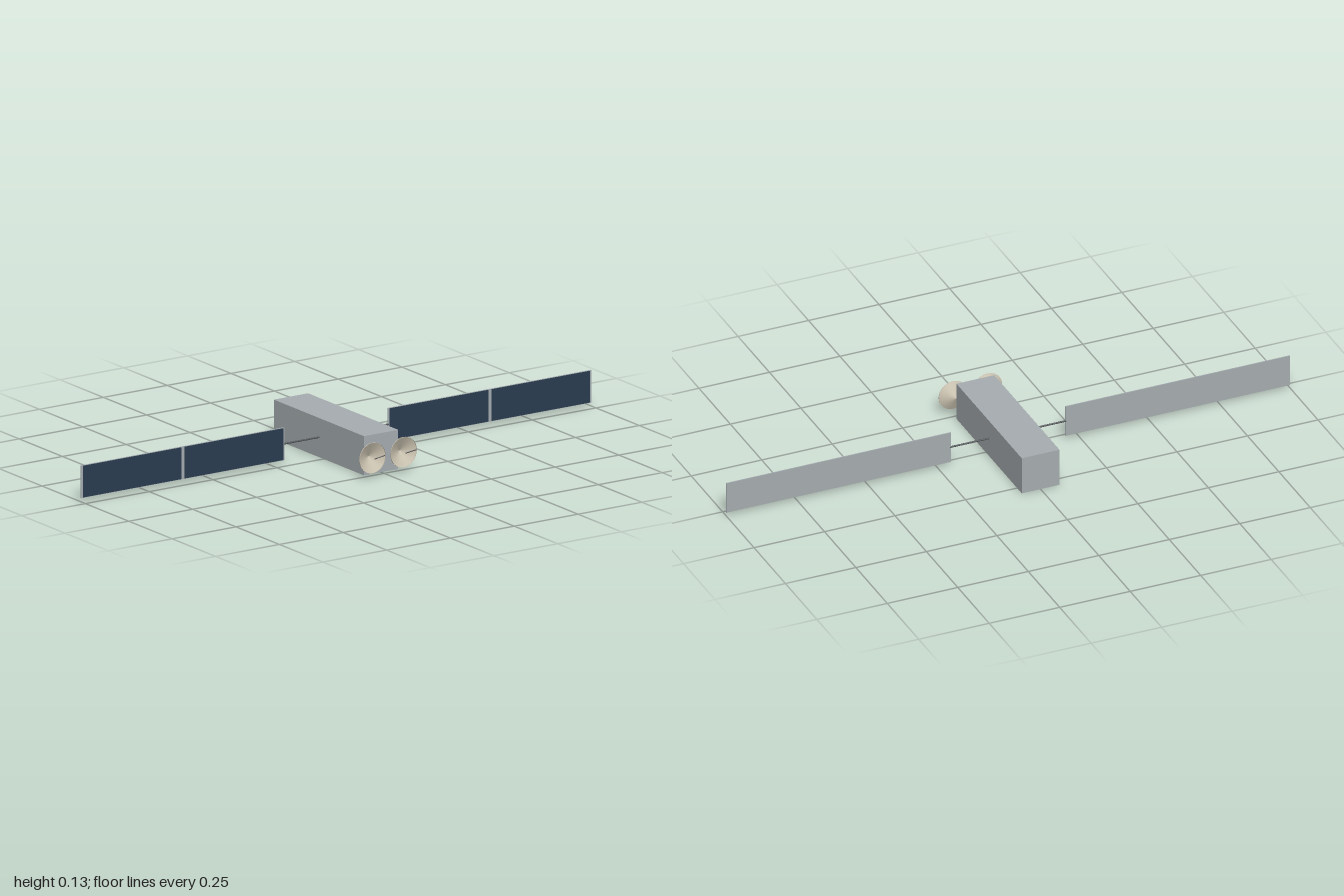
import * as THREE from 'three';

const material = (name, color, side = THREE.FrontSide) => {
  const m = new THREE.MeshStandardMaterial({ color, side });
  m.name = name;
  return m;
};

export function createModel() {
  const grey = material('bodyGrey', 0xa6adb0);
  const blue = material('cellBlue', 0x2b3c50);
  const beige = material('dishBeige', 0xcdc5b2, THREE.DoubleSide);
  const dark = material('strutDark', 0x55585c);

  const model = new THREE.Group();
  model.name = 'satellite';
  const midY = 0.067, wingZ = -0.027;

  const add = (parent, name, geometry, mat, x, y, z) => {
    const mesh = new THREE.Mesh(geometry, mat);
    mesh.name = name;
    mesh.position.set(x, y, z);
    parent.add(mesh);
    return mesh;
  };
  // Straight round rod between two points
  const addRod = (parent, name, a, b, radius) => {
    const dir = b.clone().sub(a);
    const rod = add(parent, name, new THREE.CylinderGeometry(radius, radius, dir.length(), 8), dark,
      ...a.clone().add(b).multiplyScalar(0.5).toArray());
    rod.quaternion.setFromUnitVectors(new THREE.Vector3(0, 1, 0), dir.normalize());
  };

  // Long box body
  add(model, 'body', new THREE.BoxGeometry(0.134, 0.132, 0.52), grey, 0, 0.066, wingZ);

  for (const side of [1, -1]) {
    // Solar wing: boom, backing panel and two cell sheets on its front
    const wing = new THREE.Group();
    wing.name = side > 0 ? 'leftWing' : 'rightWing';
    model.add(wing);
    addRod(wing, 'boom', new THREE.Vector3(side * 0.06, midY, wingZ),
      new THREE.Vector3(side * 0.206, midY, wingZ), 0.003);
    add(wing, 'panel', new THREE.BoxGeometry(0.797, 0.11, 0.004), grey, side * 0.6015, midY, wingZ);
    for (const x of [0.4015, 0.8])
      add(wing, 'solarCells', new THREE.BoxGeometry(0.386, 0.107, 0.001), blue, side * x, midY, wingZ + 0.0025);

    // Conical dish, open to the front, with one slanted feed strut
    const dish = new THREE.Group();
    dish.name = side > 0 ? 'leftDish' : 'rightDish';
    dish.position.set(side * 0.061, midY, 0);
    model.add(dish);
    const profile = [[0, 0], [0.051, 0.023], [0.051, 0.026]].map(p => new THREE.Vector2(...p));
    const cone = add(dish, 'reflector', new THREE.LatheGeometry(profile.slice(0, 2), 32), beige, 0, 0, 0.248);
    const rim = add(dish, 'rim', new THREE.LatheGeometry(profile.slice(1), 32), beige, 0, 0, 0.248);
    cone.rotation.x = rim.rotation.x = Math.PI / 2;
    addRod(dish, 'feedStrut', new THREE.Vector3(0.05, 0, 0.271), new THREE.Vector3(0, 0, 0.286), 0.0015);
  }
  return model;
}
